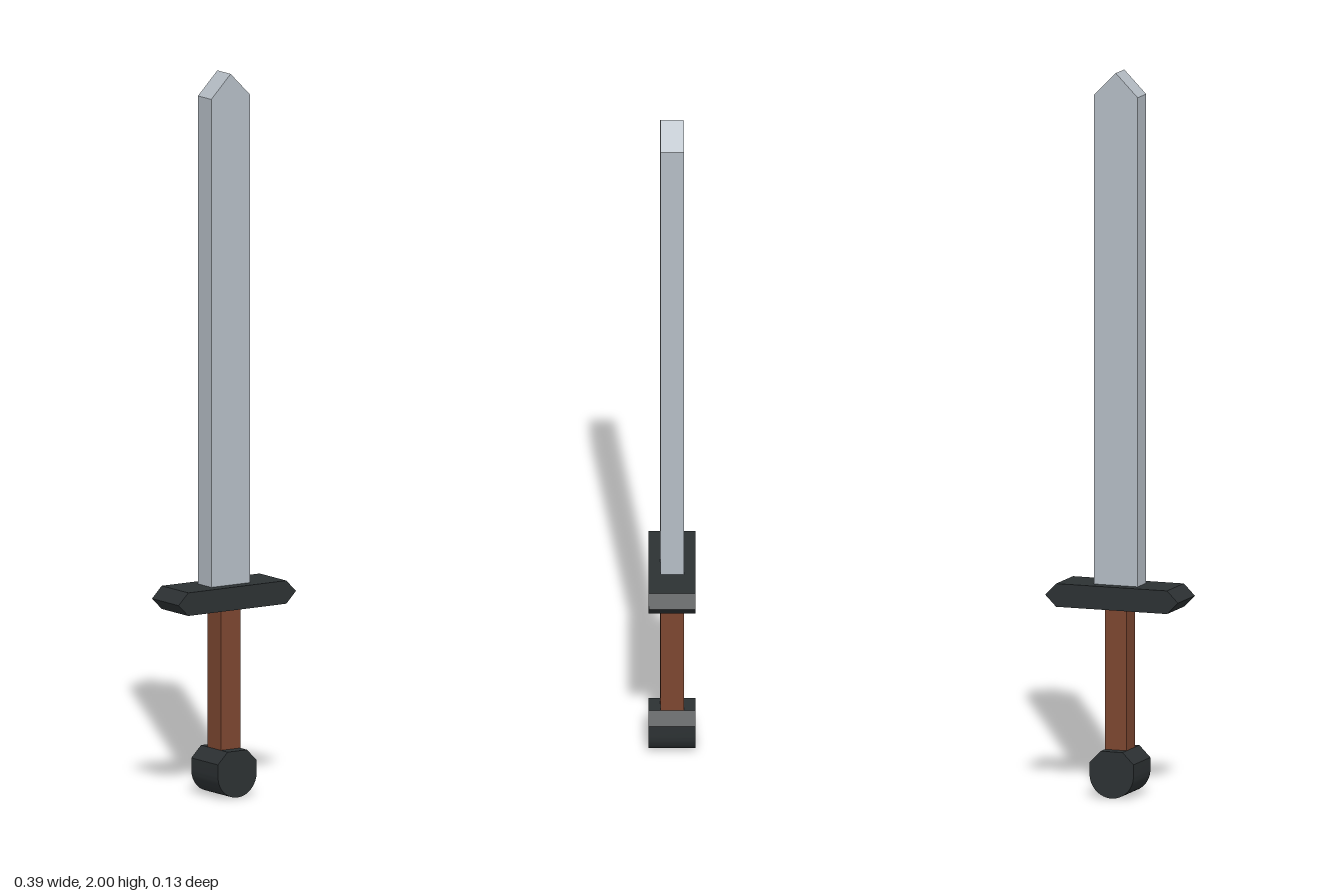
import * as THREE from 'three';
import { toCreasedNormals } from 'three/addons/utils/BufferGeometryUtils.js';

const steel = new THREE.MeshStandardMaterial({ color: 0xb4bcc4 });
const iron = new THREE.MeshStandardMaterial({ color: 0x2c3133 });
const leather = new THREE.MeshStandardMaterial({ color: 0x7c4630 });

// Closed outline from corner points
const outline = (points) => new THREE.Shape(points.map(([x, y]) => new THREE.Vector2(x, y)));

// Front outline extruded symmetrically about z = 0
function slab(name, shape, depth, material) {
  const extruded = new THREE.ExtrudeGeometry(shape, { depth, bevelEnabled: false, curveSegments: 16 });
  extruded.translate(0, 0, -depth / 2);
  const mesh = new THREE.Mesh(toCreasedNormals(extruded, 0.5), material);
  mesh.name = name;
  return mesh;
}

export function createModel() {
  const sword = new THREE.Group();
  sword.name = 'sword';

  // Flat blade with a pointed tip
  const blade = outline([[-0.064, 0.584], [0.064, 0.584], [0.064, 1.936], [0, 2], [-0.064, 1.936]]);
  sword.add(slab('blade', blade, 0.064, steel));

  // Crossguard with wedge-shaped ends
  const guard = outline([
    [-0.162, 0.52], [0.162, 0.52], [0.194, 0.552],
    [0.162, 0.584], [-0.162, 0.584], [-0.194, 0.552],
  ]);
  sword.add(slab('crossguard', guard, 0.128, iron));

  // Square grip
  const grip = outline([[-0.032, 0.129], [0.032, 0.129], [0.032, 0.52], [-0.032, 0.52]]);
  sword.add(slab('grip', grip, 0.064, leather));

  // Pommel: round below, chamfered shoulders above
  const pommel = new THREE.Shape();
  pommel.moveTo(0.064, 0.064);
  pommel.lineTo(0.064, 0.097);
  pommel.lineTo(0.032, 0.129);
  pommel.lineTo(-0.032, 0.129);
  pommel.lineTo(-0.064, 0.097);
  pommel.lineTo(-0.064, 0.064);
  pommel.absarc(0, 0.064, 0.064, Math.PI, Math.PI * 2, false);
  sword.add(slab('pommel', pommel, 0.128, iron));

  return sword;
}
